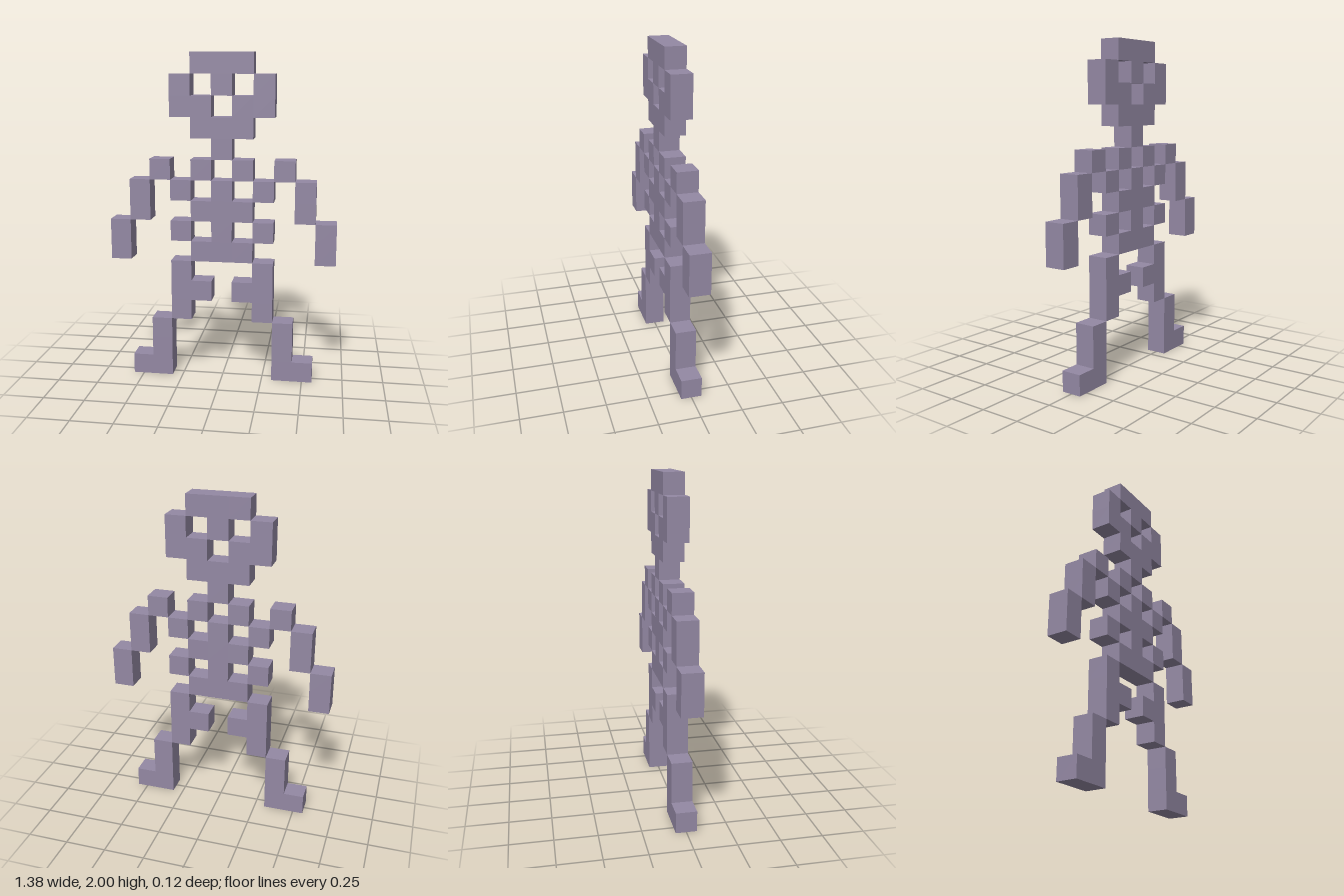
import * as THREE from 'three';
import { mergeGeometries } from 'three/addons/utils/BufferGeometryUtils.js';

const U = 0.125; // edge of one block

// Block map seen from the front, top row first; each letter is a part
const MAP = [
  '....SSS....',
  '...S.S.S...',
  '...SS.SS...',
  '....SSS....',
  '.....N.....',
  '..a.R.R.A..',
  '.a.R.B.R.A.',
  '.a..RBR..A.',
  'a..R.B.R..A',
  'a...PPP...A',
  '...l...L...',
  '...ll.LL...',
  '...l...L...',
  '..l.....L..',
  '..l.....L..',
  '.ff.....FF.',
];

const PARTS = {
  S: 'skull', N: 'neck', R: 'ribs', B: 'spine', P: 'pelvis',
  a: 'rightArm', A: 'leftArm', l: 'rightLeg', L: 'leftLeg',
  f: 'rightFoot', F: 'leftFoot',
};

const filled = (row, col) => (MAP[row]?.[col] ?? '.') !== '.';

// One block face, turned about x then y and pushed out to the block's surface
function face(rotX, rotY) {
  return new THREE.PlaneGeometry(U, U).translate(0, 0, U / 2).rotateX(rotX).rotateY(rotY);
}

// Outer faces of one block; sides touching a neighbour are left out
function blockFaces(row, col) {
  const faces = [face(0, 0), face(0, Math.PI)];
  if (!filled(row, col + 1)) faces.push(face(0, Math.PI / 2));
  if (!filled(row, col - 1)) faces.push(face(0, -Math.PI / 2));
  if (!filled(row - 1, col)) faces.push(face(-Math.PI / 2, 0));
  if (!filled(row + 1, col)) faces.push(face(Math.PI / 2, 0));
  const x = (col - 5) * U;
  const y = (MAP.length - row - 0.5) * U;
  return faces.map((f) => f.translate(x, y, 0));
}

export function createModel() {
  const model = new THREE.Group();
  model.name = 'blockSkeleton';
  const bone = new THREE.MeshStandardMaterial({ color: 0x9388a3 });
  bone.name = 'mauve bone';

  for (const [letter, name] of Object.entries(PARTS)) {
    const faces = [];
    MAP.forEach((line, row) => {
      [...line].forEach((c, col) => {
        if (c === letter) faces.push(...blockFaces(row, col));
      });
    });
    const mesh = new THREE.Mesh(mergeGeometries(faces), bone);
    mesh.name = name;
    model.add(mesh);
  }
  return model;
}
